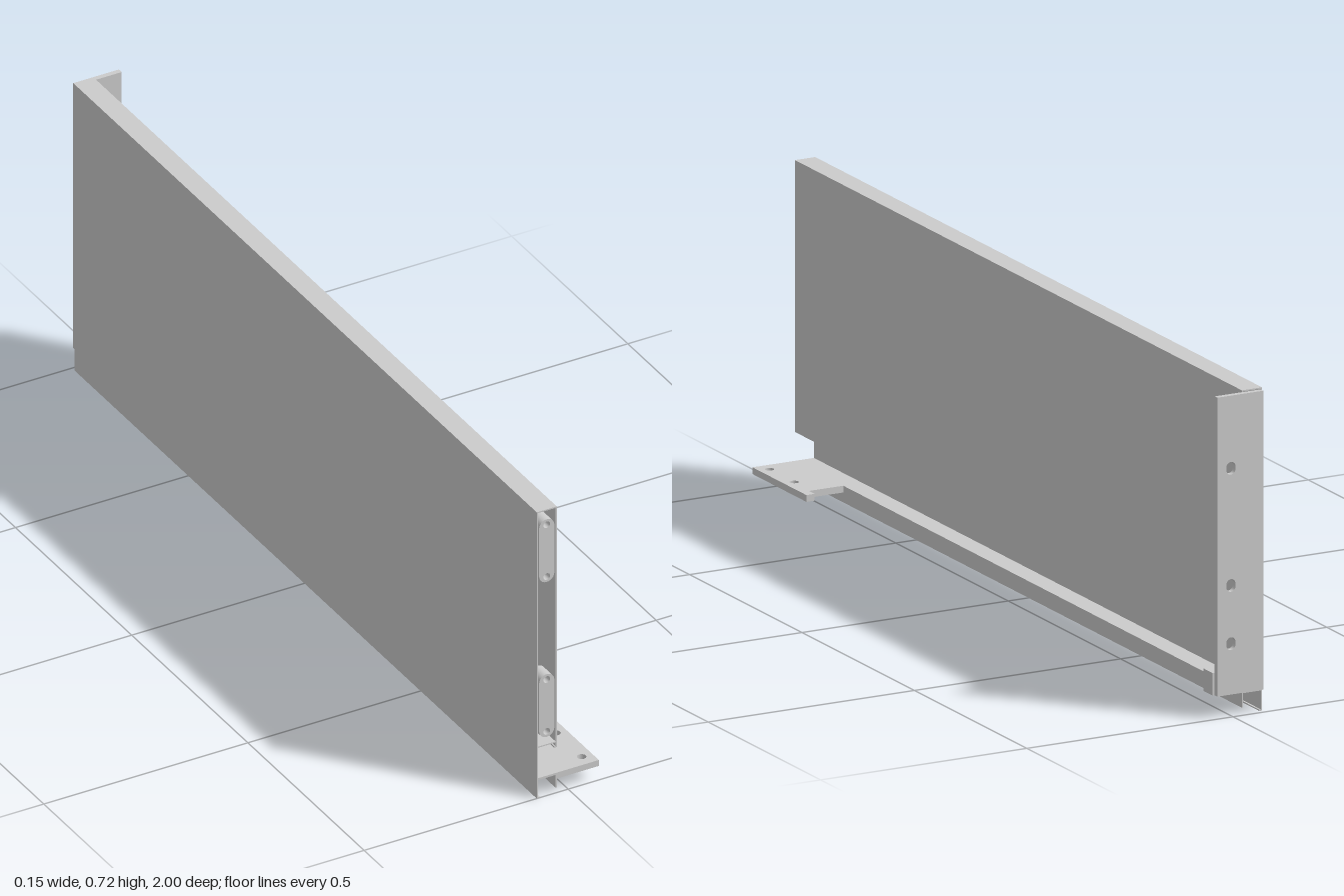
import * as THREE from 'three';

const material = new THREE.MeshStandardMaterial({ color: 0xcccccc, side: THREE.DoubleSide });

const polygon = (points) => new THREE.Shape(points.map(([x, y]) => new THREE.Vector2(x, y)));

// Upright slot outline; equal height and width gives a circle
function slot(PathType, x, y, width, height) {
  const r = width / 2, h = height / 2 - r;
  const path = new PathType();
  path.absarc(x, y + h, r, 0, Math.PI, false);
  path.absarc(x, y - h, r, Math.PI, Math.PI * 2, false);
  path.closePath();
  return path;
}

// Extrude an x/y outline between two z positions
function extrude(name, shape, z0, z1) {
  const geometry = new THREE.ExtrudeGeometry(shape, { depth: z1 - z0, bevelEnabled: false, curveSegments: 16 });
  geometry.translate(0, 0, z0);
  const mesh = new THREE.Mesh(geometry, material);
  mesh.name = name;
  return mesh;
}

export function createModel() {
  const group = new THREE.Group();
  group.name = 'drawerSide';
  const back = -0.988, front = 1;

  // Folded sheet: outer wall with bottom hem, top, inner wall with hooked lip
  group.add(extrude('sheetShell', polygon([
    [-0.077, 0], [-0.07, 0], [-0.07, 0.003], [-0.074, 0.003], [-0.074, 0.714],
    [-0.031, 0.714], [-0.031, 0.117], [-0.034, 0.117], [-0.034, 0.114],
    [-0.028, 0.114], [-0.028, 0.717], [-0.077, 0.717],
  ]), back, front));

  // Web closing the hollow wall near its lower edge
  group.add(extrude('lowerWeb', polygon([
    [-0.074, 0.126], [-0.031, 0.126], [-0.031, 0.129], [-0.074, 0.129],
  ]), back, front));

  // Runner rail: shelf with downward leg
  group.add(extrude('runnerRail', polygon([
    [-0.074, 0.045], [-0.031, 0.045], [-0.031, 0.013], [-0.028, 0.013],
    [-0.028, 0.05], [-0.074, 0.05],
  ]), back, front));

  // Slotted fixing inserts in the open front end
  for (const y of [0.613, 0.225]) {
    const insert = slot(THREE.Shape, -0.052, y, 0.037, 0.157);
    for (const dy of [-0.065, 0.065]) {
      insert.holes.push(slot(THREE.Path, -0.052, y + dy, 0.016, 0.016));
    }
    group.add(extrude('frontInsert', insert, 0.96, 0.999));
  }

  // Rear mounting plate with oval holes
  const plate = polygon([[-0.074, 0.05], [0.038, 0.05], [0.038, 0.713], [-0.074, 0.713]]);
  for (const y of [0.552, 0.292, 0.163]) plate.holes.push(slot(THREE.Path, 0.005, y, 0.022, 0.028));
  group.add(extrude('rearPlate', plate, -1, back));

  // Block at the foot of the rear plate
  group.add(extrude('rearBlock', polygon([
    [-0.074, 0.05], [0.043, 0.05], [0.043, 0.1], [-0.074, 0.1],
  ]), -0.988, -0.947));

  // Front foot plate with a tab, drawn in x/-z and laid flat
  const foot = polygon([
    [-0.029, -1], [0.075, -1], [0.075, -0.76], [0.055, -0.76], [0.055, -0.785], [-0.029, -0.785],
  ]);
  for (const z of [0.86, 0.97]) foot.holes.push(slot(THREE.Path, 0.05, -z, 0.02, 0.02));
  const footPlate = extrude('frontFootPlate', foot, 0.035, 0.05);
  footPlate.geometry.rotateX(-Math.PI / 2);
  group.add(footPlate);

  return group;
}
